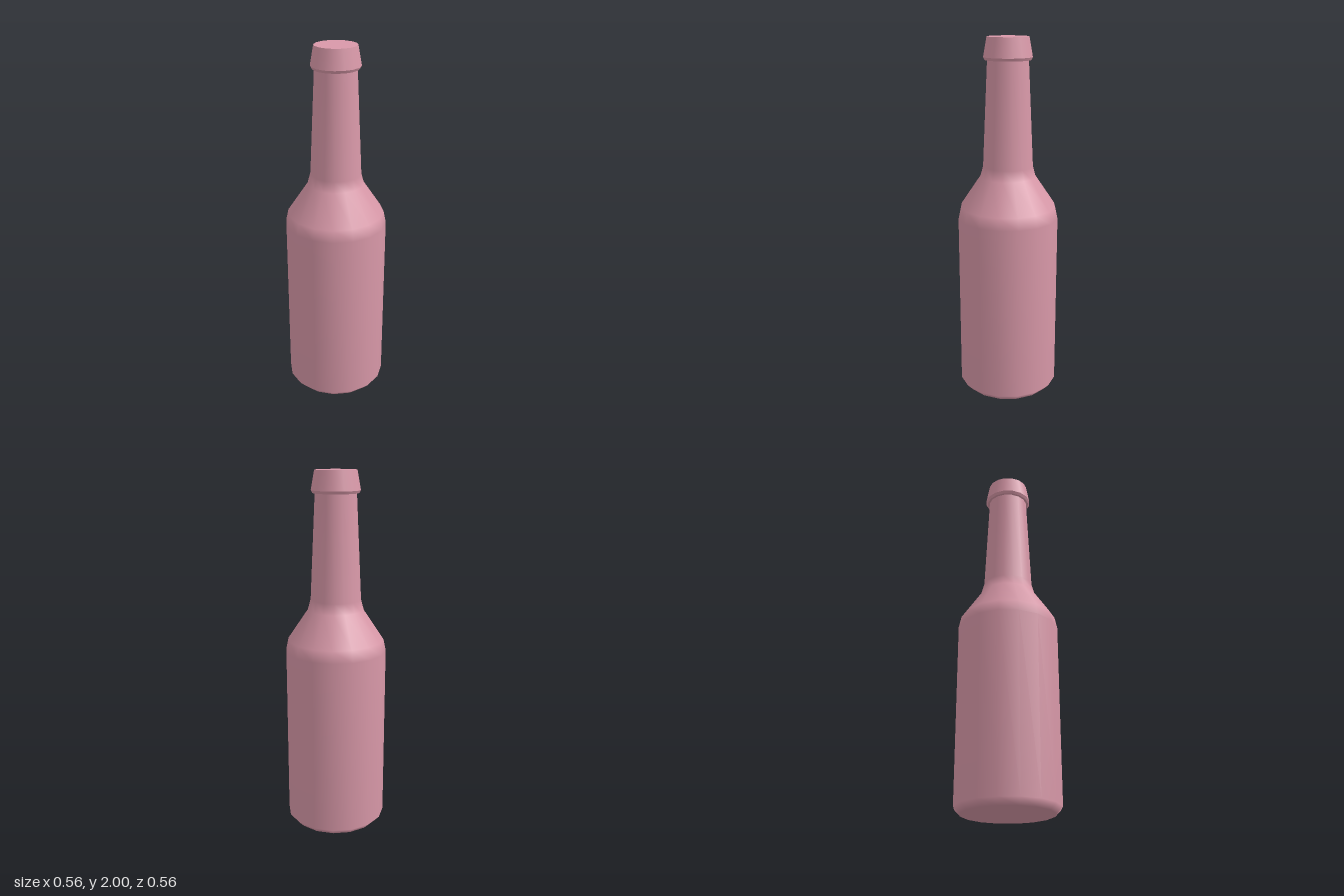
import * as THREE from 'three';

const SIDES = 16;
const glass = new THREE.MeshStandardMaterial({ color: 0xd898a8 });

// Revolves a list of [radius, height] pairs, bottom to top
function revolve(name, profile) {
  const points = profile.map(([r, y]) => new THREE.Vector2(r, y));
  const mesh = new THREE.Mesh(new THREE.LatheGeometry(points, SIDES), glass);
  mesh.name = name;
  return mesh;
}

export function createModel() {
  const bottle = new THREE.Group();
  bottle.name = 'bottle';

  // Closed base, straight body, sloping shoulder and tapering neck
  bottle.add(revolve('body', [
    [0, 0], [0.247, 0], [0.28, 0.035], [0.28, 1.02], [0.266, 1.085],
    [0.155, 1.25], [0.139, 1.31], [0.112, 1.885],
  ]));

  // Lip: underside, small chamfer and tapering band, with crisp edges between
  bottle.add(revolve('lipUnderside', [[0.11, 1.88], [0.125, 1.88]]));
  bottle.add(revolve('lipChamfer', [[0.125, 1.88], [0.133, 1.895]]));
  bottle.add(revolve('lipBand', [[0.133, 1.895], [0.114, 2]]));

  // Flat closed top
  const top = new THREE.Mesh(new THREE.CircleGeometry(0.114, SIDES), glass);
  top.name = 'top';
  top.rotation.x = -Math.PI / 2;
  top.position.y = 2;
  bottle.add(top);

  return bottle;
}
